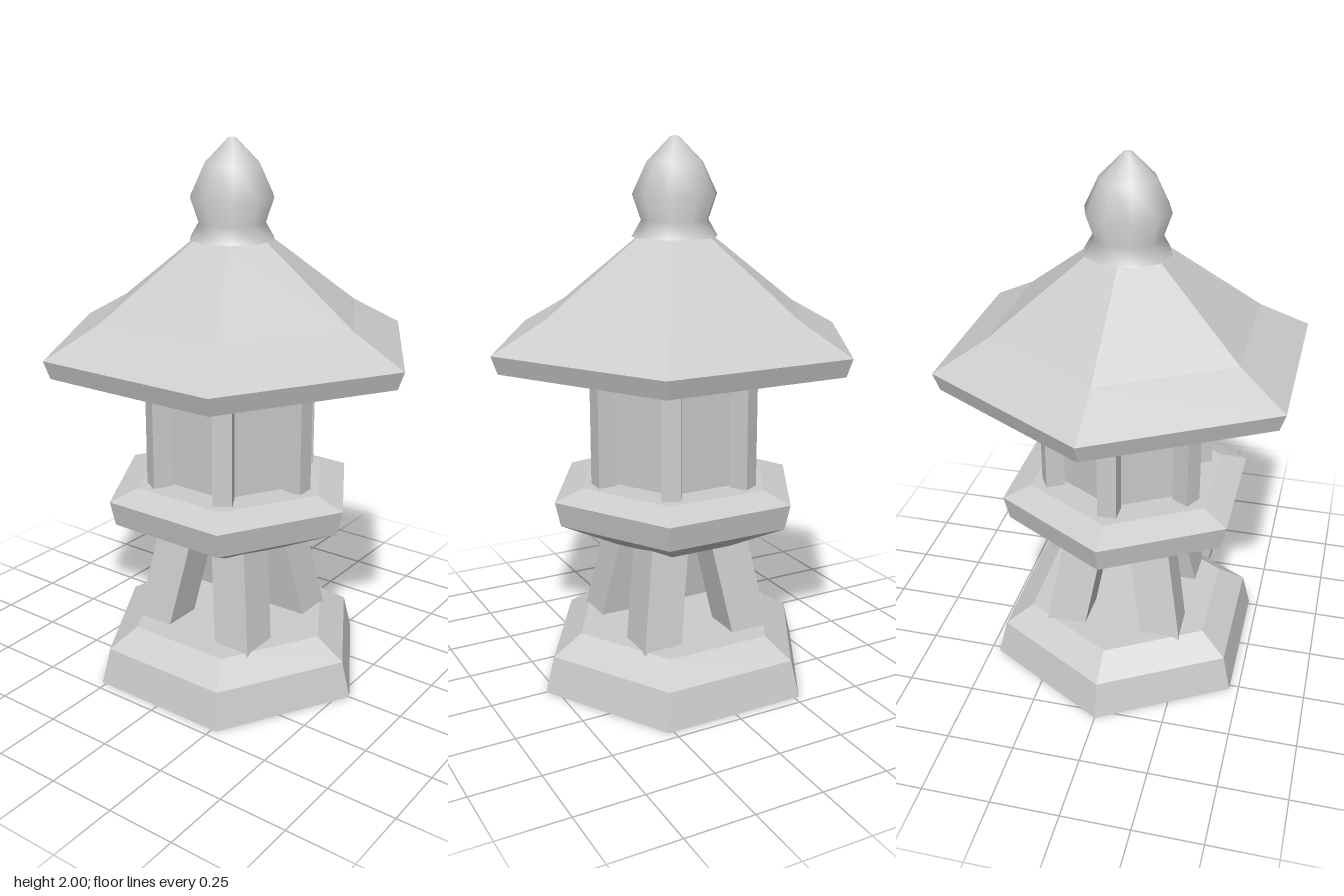
import * as THREE from 'three';

const stone = new THREE.MeshStandardMaterial({ color: 0xcccccc, side: THREE.DoubleSide });
stone.name = 'stone';

// Turned shape from [radius, y] points, listed upwards; the first corner faces +z
function turned(name, profile, sides = 6, faceted = true) {
  const points = profile.map(([r, y]) => new THREE.Vector2(r, y));
  let geometry = new THREE.LatheGeometry(points, sides);
  if (faceted) {
    geometry = geometry.toNonIndexed();
    geometry.computeVertexNormals();
  }
  const mesh = new THREE.Mesh(geometry, stone);
  mesh.name = name;
  return mesh;
}

function box(name, w, h, d) {
  const mesh = new THREE.Mesh(new THREE.BoxGeometry(w, h, d), stone);
  mesh.name = name;
  return mesh;
}

export function createModel() {
  const lantern = new THREE.Group();
  lantern.name = 'stoneLantern';

  // Hollow plinth, open underneath
  lantern.add(turned('base', [[0.538, 0], [0.503, 0.135], [0.393, 0.205], [0, 0.205]]));

  // Four square legs leaning towards the centre
  const lean = 0.17;
  for (const sx of [-1, 1]) {
    for (const sz of [-1, 1]) {
      const leg = box('leg', 0.148, 0.52, 0.148);
      leg.position.set(sx * 0.15, 0.39, sz * 0.15);
      leg.rotation.set(-sz * lean, 0, sx * lean);
      lantern.add(leg);
    }
  }

  // Platform below the light chamber
  lantern.add(turned('platform', [
    [0, 0.53], [0.24, 0.53], [0.462, 0.64], [0.483, 0.732], [0.375, 0.77], [0, 0.77],
  ]));

  // Light chamber with a post at each corner
  lantern.add(turned('chamber', [[0.255, 0.76], [0.265, 1.25]]));
  for (let i = 0; i < 6; i++) {
    const angle = (i * Math.PI) / 3;
    const post = box('post', 0.07, 0.46, 0.07);
    post.position.set(0.29 * Math.sin(angle), 0.98, 0.29 * Math.cos(angle));
    post.rotation.y = angle;
    lantern.add(post);
  }

  // Flared roof, hollow inside
  lantern.add(turned('roof', [
    [0.39, 1.165], [0.675, 1.22], [0.698, 1.285], [0.502, 1.39], [0.145, 1.655], [0, 1.655],
  ]));

  // Smooth bud on top
  const finial = turned('finial', [
    [0.155, 1.652], [0.121, 1.71], [0.152, 1.8], [0.1, 1.91], [0.016, 1.995], [0, 2],
  ], 10, false);
  finial.rotation.y = Math.PI / 2;
  lantern.add(finial);

  return lantern;
}
